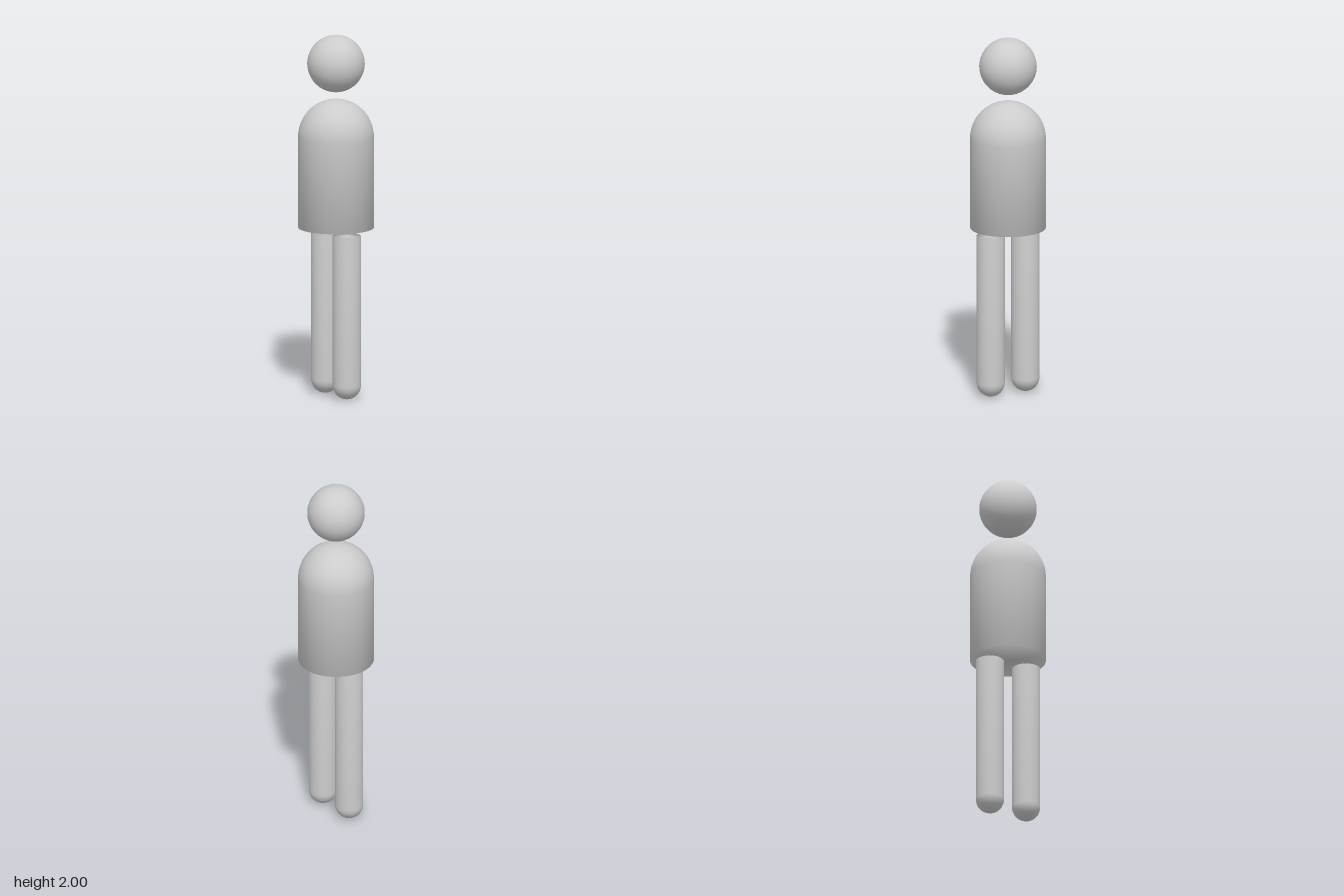
import * as THREE from 'three';

const material = new THREE.MeshStandardMaterial({ color: 0xcccccc });

// Closed profile: a flat end at flatY, straight sides, and a hemisphere whose tip is at tipY.
function domedCylinder(name, radius, flatY, tipY) {
  const dir = Math.sign(tipY - flatY);
  const centreY = tipY - dir * radius;
  const points = [new THREE.Vector2(0, flatY), new THREE.Vector2(radius, flatY)];
  const steps = 12;
  for (let i = 0; i <= steps; i++) {
    const a = (i / steps) * Math.PI / 2;
    points.push(new THREE.Vector2(i === steps ? 0 : radius * Math.cos(a), centreY + dir * radius * Math.sin(a)));
  }
  // The profile must run upwards for the faces to point outwards
  if (dir < 0) points.reverse();
  const mesh = new THREE.Mesh(new THREE.LatheGeometry(points, 32), material);
  mesh.name = name;
  return mesh;
}

export function createModel() {
  const model = new THREE.Group();
  model.name = 'figure';

  // Floating round head
  const head = new THREE.Mesh(new THREE.SphereGeometry(0.157, 32, 24), material);
  head.name = 'head';
  head.position.y = 1.843;
  model.add(head);

  // Torso with domed shoulders and a flat underside
  model.add(domedCylinder('torso', 0.207, 0.935, 1.645));

  // Legs stand one behind the other, flat on top and rounded at the foot
  for (const [name, side] of [['frontLeg', 1], ['backLeg', -1]]) {
    const leg = domedCylinder(name, 0.077, 0.906, 0);
    leg.position.z = side * 0.111;
    model.add(leg);
  }
  return model;
}
